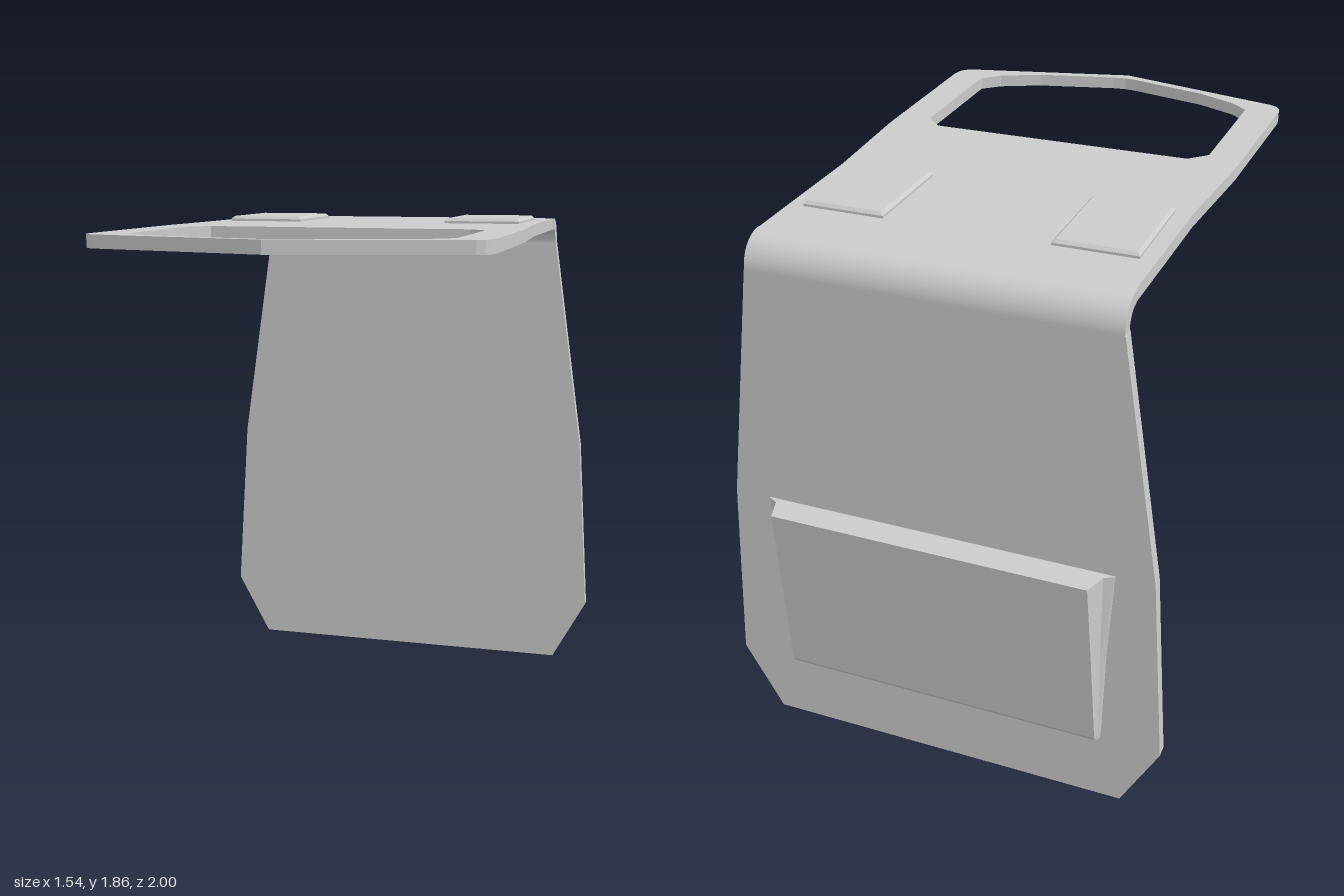
import * as THREE from 'three';

const material = new THREE.MeshStandardMaterial({ color: 0xcccccc, side: THREE.DoubleSide });
const T = 0.043; // sheet thickness
const TOP = 1.843; // upper surface height

// Mirrors a half outline (right side, first to last) into a full closed one
function mirrored(half) {
  const other = half.filter(([x]) => x > 0).map(([x, y]) => [-x, y]).reverse();
  return [...half, ...other].map(([x, y]) => new THREE.Vector2(x, y));
}

function add(group, name, geometry) {
  const mesh = new THREE.Mesh(geometry, material);
  mesh.name = name;
  group.add(mesh);
  return mesh;
}

// Lofts equal-length rings of [x, y, z] into a flat-faced solid with end caps
function loft(rings) {
  const pos = [];
  const tri = (a, b, c) => pos.push(...a, ...b, ...c);
  const n = rings[0].length;
  for (let r = 0; r < rings.length - 1; r++) {
    for (let i = 0; i < n; i++) {
      const j = (i + 1) % n;
      const a = rings[r][i], b = rings[r][j], c = rings[r + 1][j], d = rings[r + 1][i];
      tri(a, b, c);
      tri(a, c, d);
    }
  }
  const cap = (ring, flip) => {
    const mid = [0, 1, 2].map(k => ring.reduce((s, p) => s + p[k], 0) / n);
    ring.forEach((p, i) => {
      const q = ring[(i + 1) % n];
      flip ? tri(mid, q, p) : tri(mid, p, q);
    });
  };
  cap(rings[0], true);
  cap(rings[rings.length - 1], false);
  const g = new THREE.BufferGeometry();
  g.setAttribute('position', new THREE.Float32BufferAttribute(pos, 3));
  g.computeVertexNormals();
  return g;
}

// Horizontal rectangle ring, counter-clockwise seen from above
const rect = (w, d, y) => [[-w, y, d], [w, y, d], [w, y, -d], [-w, y, -d]];

export function createModel() {
  const model = new THREE.Group();

  // Top plate with a pointed front and a large window; outline is (x, z)
  const plate = new THREE.Shape(mirrored([
    [0.598, -0.8], [0.605, -0.24], [0.634, 0.18], [0.645, 0.78], [0.64, 0.815],
    [0.625, 0.838], [0.6, 0.853], [0.04, 0.99], [0, 1],
  ]));
  plate.holes.push(new THREE.Path(mirrored([
    [0.46, 0.21], [0.52, 0.27], [0.525, 0.765], [0.465, 0.82], [0.325, 0.885],
    [0.045, 0.955], [0, 0.96],
  ])));
  const plateGeo = new THREE.ExtrudeGeometry(plate, { depth: T, bevelEnabled: false });
  plateGeo.rotateX(Math.PI / 2).translate(0, TOP, 0);
  add(model, 'topPlate', plateGeo);

  // Rounded bend joining the two plates, swept across the width
  const R = 0.1;
  const arc = new THREE.Shape();
  arc.absarc(0, 0, R, 0, Math.PI / 2, false);
  arc.absarc(0, 0, R - T, Math.PI / 2, 0, true);
  const bendGeo = new THREE.ExtrudeGeometry(arc, { depth: 1.2, bevelEnabled: false, curveSegments: 16 });
  bendGeo.translate(0, 0, -0.6).rotateY(Math.PI / 2).translate(0, TOP - R, -0.8);
  add(model, 'bend', bendGeo);

  // Back plate, widening downwards, leaning very slightly backwards
  const back = new THREE.Shape(mirrored([
    [0.64, 0], [0.77, 0.24], [0.725, 0.92], [0.602, TOP - R],
  ]));
  const backGeo = new THREE.ExtrudeGeometry(back, { depth: T, bevelEnabled: false });
  backGeo.translate(0, 0, -0.9);
  const p = backGeo.attributes.position;
  for (let i = 0; i < p.count; i++) p.setZ(i, p.getZ(i) - (TOP - R - p.getY(i)) * 0.005);
  backGeo.computeVertexNormals();
  add(model, 'backPlate', backGeo);

  // Two raised pads with chamfered rims
  for (const side of [-1, 1]) {
    const pad = add(model, side > 0 ? 'leftPad' : 'rightPad', loft([
      rect(0.137, 0.186, -0.01), rect(0.137, 0.186, 0.008), rect(0.127, 0.176, 0.018),
    ]));
    pad.position.set(side * 0.412, TOP, -0.425);
  }

  // Wedge on the back: thin below, deep at the flat top, sides flaring into the plate
  const section = (y, foot, side, face, z) => [
    [-foot, y, -0.895], [foot, y, -0.895], [foot, y, -0.908], [side, y, -0.915 - (0.9 + z) * -0.1],
    [face, y, z], [-face, y, z], [-side, y, -0.915 - (0.9 + z) * -0.1], [-foot, y, -0.908],
  ];
  add(model, 'backWedge', loft([
    section(0.25, 0.565, 0.56, 0.555, -0.925),
    section(0.27, 0.567, 0.562, 0.555, -0.938),
    section(0.6, 0.578, 0.562, 0.548, -0.969),
    section(0.92, 0.598, 0.565, 0.54, -1),
  ]));

  return model;
}
